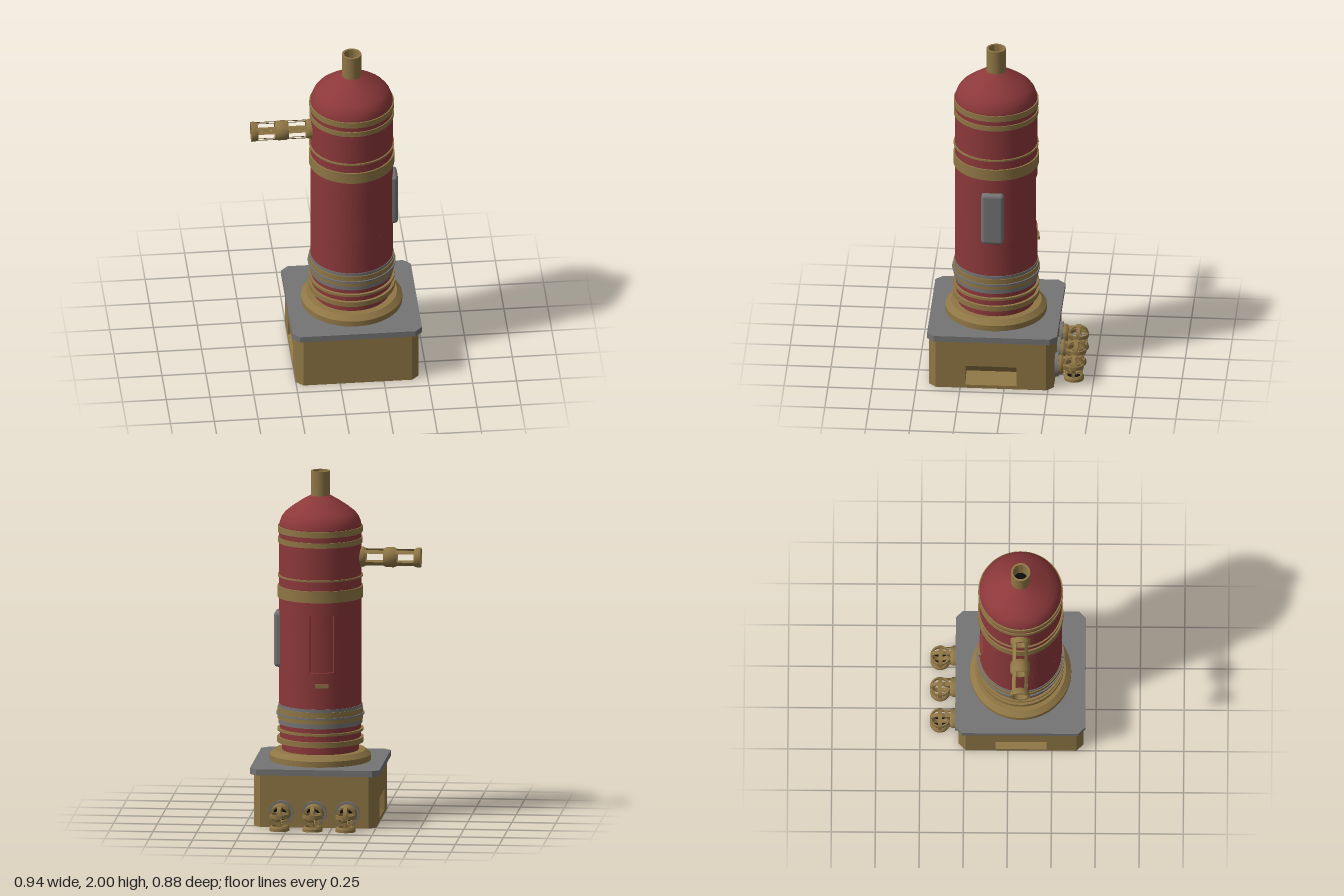
import * as THREE from 'three';
import { RoundedBoxGeometry } from 'three/addons/geometries/RoundedBoxGeometry.js';
import { toCreasedNormals } from 'three/addons/utils/BufferGeometryUtils.js';

const CX = 0.1, CZ = 0.07; // axis of the column

export function createModel() {
  const model = new THREE.Group();
  const material = (name, color, side = THREE.FrontSide) => {
    const m = new THREE.MeshStandardMaterial({ color, side });
    m.name = name;
    return m;
  };
  const red = material('red paint', 0x8c383a, THREE.DoubleSide);
  const brass = material('brass', 0x8f7645, THREE.DoubleSide);
  const grey = material('grey metal', 0x747474);
  const black = material('black', 0x0b0b0b, THREE.DoubleSide);

  const add = (parent, name, geometry, mat, x = 0, y = 0, z = 0) => {
    const mesh = new THREE.Mesh(geometry, mat);
    mesh.name = name;
    mesh.position.set(x, y, z);
    parent.add(mesh);
    return mesh;
  };
  const lathe = (points, seg = 48, start = 0, length = Math.PI * 2) => toCreasedNormals(
    new THREE.LatheGeometry(points.map(p => new THREE.Vector2(p[0], p[1])), seg, start, length), 0.5);
  // Hollow band with a closed rectangular section
  const band = (ri, ro, y0, y1, seg, start, length) =>
    lathe([[ri, y0], [ro, y0], [ro, y1], [ri, y1], [ri, y0]], seg, start, length);
  const shape = points => new THREE.Shape(points.map(p => new THREE.Vector2(p[0], p[1])));
  const extrude = (s, depth) => new THREE.ExtrudeGeometry(s, { depth, bevelEnabled: false });

  // Base: two chamfered end slabs and a middle slab with a wedge slot on each side
  const base = new THREE.Group();
  base.name = 'base';
  model.add(base);
  const x0 = -0.25, x1 = 0.45, z0 = -0.28, z1 = 0.43, slot0 = -0.07, slot1 = 0.22, c = 0.04;
  const slab = (name, inner, outer) => {
    const e = outer - Math.sign(outer - inner) * c;
    const g = extrude(shape([[x0, -inner], [x1, -inner], [x1, -e], [x1 - c, -outer], [x0 + c, -outer], [x0, -e]]), 0.3);
    add(base, name, g.rotateX(-Math.PI / 2), brass);
  };
  slab('baseFront', slot1, z1);
  slab('baseBack', slot0, z0);
  const d = 0.08;
  add(base, 'baseMiddle', extrude(shape([
    [x0, 0], [x1, 0], [x1, 0.02], [x1 - d, 0.07], [x1, 0.14], [x1, 0.3],
    [x0, 0.3], [x0, 0.14], [x0 + d, 0.07], [x0, 0.02],
  ]), slot1 - slot0), brass, 0, 0, slot0);

  // Top plate with cut corners
  const h = 0.37, k = h - 0.04;
  add(model, 'basePlate', extrude(shape([
    [h, -k], [h, k], [k, h], [-k, h], [-h, k], [-h, -k], [-k, -h], [k, -h],
  ]), 0.035).rotateX(-Math.PI / 2), grey, CX, 0.3, CZ);

  // Column
  const column = new THREE.Group();
  column.name = 'column';
  column.position.set(CX, 0, CZ);
  model.add(column);
  add(column, 'footFlange', lathe([[0.2, 0.335], [0.288, 0.335], [0.288, 0.368], [0.258, 0.395], [0.2, 0.395]], 64), brass);

  const R = 0.234, door0 = 0.87, door1 = 1.2;
  const tube = (r, y0, y1) => lathe([[r, y0], [r, y1]], 64);
  add(column, 'columnFoot', tube(0.218, 0.39, 0.45), red);
  add(column, 'columnLower', tube(0.23, 0.45, 0.56), red);
  add(column, 'columnBody', tube(R, 0.56, door0), red);
  add(column, 'columnUpper', tube(R, door1, 1.69), red);

  // Recessed panel at the back
  const mid = Math.PI + 0.13, half = 0.3, inner = 0.216;
  add(column, 'columnBesideRecess', lathe([[R, door0], [R, door1]], 60, mid + half, Math.PI * 2 - 2 * half), red);
  add(column, 'recessPanel', lathe([[R, door0], [inner, door0], [inner, door1], [R, door1]], 10, mid - half, 2 * half), red);
  for (const s of [-1, 1]) {
    const wall = add(column, 'recessSide', new THREE.PlaneGeometry(R - inner, door1 - door0), red);
    const a = mid + s * half, r = (R + inner) / 2;
    wall.position.set(Math.sin(a) * r, (door0 + door1) / 2, Math.cos(a) * r);
    wall.rotation.y = a - Math.PI / 2;
  }
  const handle = add(column, 'backHandle', new THREE.BoxGeometry(0.075, 0.02, 0.03), brass,
    Math.sin(mid) * 0.231, 0.795, Math.cos(mid) * 0.231);
  handle.rotation.y = mid;

  // Rings around the column: name, bottom, top, radius, material
  const rings = [
    ['lowerRing', 0.44, 0.47, 0.246, brass],
    ['lowerThinRing', 0.506, 0.52, 0.245, brass],
    ['greyRing', 0.548, 0.575, 0.238, grey],
    ['middleRing', 0.575, 0.6, 0.243, brass],
    ['middleThinRing', 0.6, 0.611, 0.25, grey],
    ['middleUpperRing', 0.611, 0.642, 0.243, brass],
    ['upperGreyRing', 0.642, 0.66, 0.238, grey],
    ['wideRing', 1.275, 1.342, 0.243, brass],
    ['thinRing', 1.395, 1.405, 0.242, brass],
    ['neckRing', 1.59, 1.62, 0.24, brass],
    ['domeRing', 1.65, 1.685, 0.241, brass],
  ];
  for (const [name, y0, y1, r, mat] of rings) add(column, name, band(0.21, r, y0, y1, 64), mat);

  // Dome and chimney
  add(column, 'dome', new THREE.LatheGeometry([
    [0.234, 1.68], [0.231, 1.705], [0.22, 1.735], [0.2, 1.762], [0.165, 1.79], [0.11, 1.828], [0.05, 1.862],
  ].map(p => new THREE.Vector2(p[0], p[1])), 64), red);
  add(column, 'chimney', band(0.043, 0.055, 1.84, 2, 32), brass);
  add(column, 'chimneyHole', new THREE.CircleGeometry(0.045, 32).rotateX(-Math.PI / 2), black, 0, 1.87, 0);

  // Side box
  add(column, 'sideBox', new RoundedBoxGeometry(0.06, 0.32, 0.13, 3, 0.022), grey, 0.231, 1.03, 0.003);

  // Four lengthwise bars of a cage pipe running along local y
  const bars = (parent, ri, ro, y0, y1, first) => {
    for (let i = 0; i < 4; i++) {
      add(parent, 'cageBar', band(ri, ro, y0, y1, 4, first + i * Math.PI / 2 - 0.2, 0.4), brass);
    }
  };

  // Horizontal cage arm, local y pointing to -x
  const arm = new THREE.Group();
  arm.name = 'cageArm';
  arm.position.set(0, 1.506, CZ);
  arm.rotation.z = Math.PI / 2;
  model.add(arm);
  const sleeve = (name, outline) => {
    const [a, b] = [outline[0][1], outline[outline.length - 1][1]];
    add(arm, name, lathe([[0.042, a], ...outline, [0.042, b], [0.042, a]], 28), brass);
  };
  sleeve('armCollar', [[0.057, 0.115], [0.057, 0.148], [0.05, 0.162]]);
  sleeve('armCoupling', [[0.05, 0.262], [0.057, 0.278], [0.057, 0.322], [0.05, 0.338]]);
  sleeve('armEnd', [[0.05, 0.437], [0.057, 0.455], [0.057, 0.475]]);
  bars(arm, 0.044, 0.053, 0.14, 0.45, Math.PI / 4);

  // Cage elbows at the back: a ball of three hoops between two collars
  for (const i of [-1, 0, 1]) {
    const elbow = new THREE.Group();
    elbow.name = 'cageElbow';
    elbow.position.set(CX + i * 0.189, 0.085, -0.387);
    model.add(elbow);
    for (const [rx, rz] of [[0, 0], [Math.PI / 2, 0], [0, Math.PI / 2]]) {
      add(elbow, 'cageHoop', band(0.047, 0.057, -0.011, 0.011, 32), brass).rotation.set(rx, 0, rz);
    }
    const down = new THREE.Group(), back = new THREE.Group();
    down.name = 'outletPipe';
    back.name = 'wallPipe';
    down.rotation.x = Math.PI;
    back.rotation.x = Math.PI / 2;
    elbow.add(down, back);
    bars(down, 0.042, 0.05, 0, 0.065, 0);
    bars(back, 0.042, 0.05, 0, 0.065, 0);
    const collar = y => lathe([[0.042, y], [0.05, y], [0.057, y + 0.012], [0.057, y + 0.028], [0.042, y + 0.028], [0.042, y]], 28);
    add(down, 'outletCollar', collar(0.057), brass);
    add(back, 'wallCollar', collar(0.059), brass);
    add(back, 'wallFlange', band(0.042, 0.07, 0.087, 0.11, 32), grey);
    add(back, 'wallHole', new THREE.CircleGeometry(0.044, 28).rotateX(Math.PI / 2), black, 0, 0.09, 0);
    if (i) add(down, 'outletHole', new THREE.CircleGeometry(0.044, 28).rotateX(Math.PI / 2), black, 0, 0.075, 0);
  }
  return model;
}
